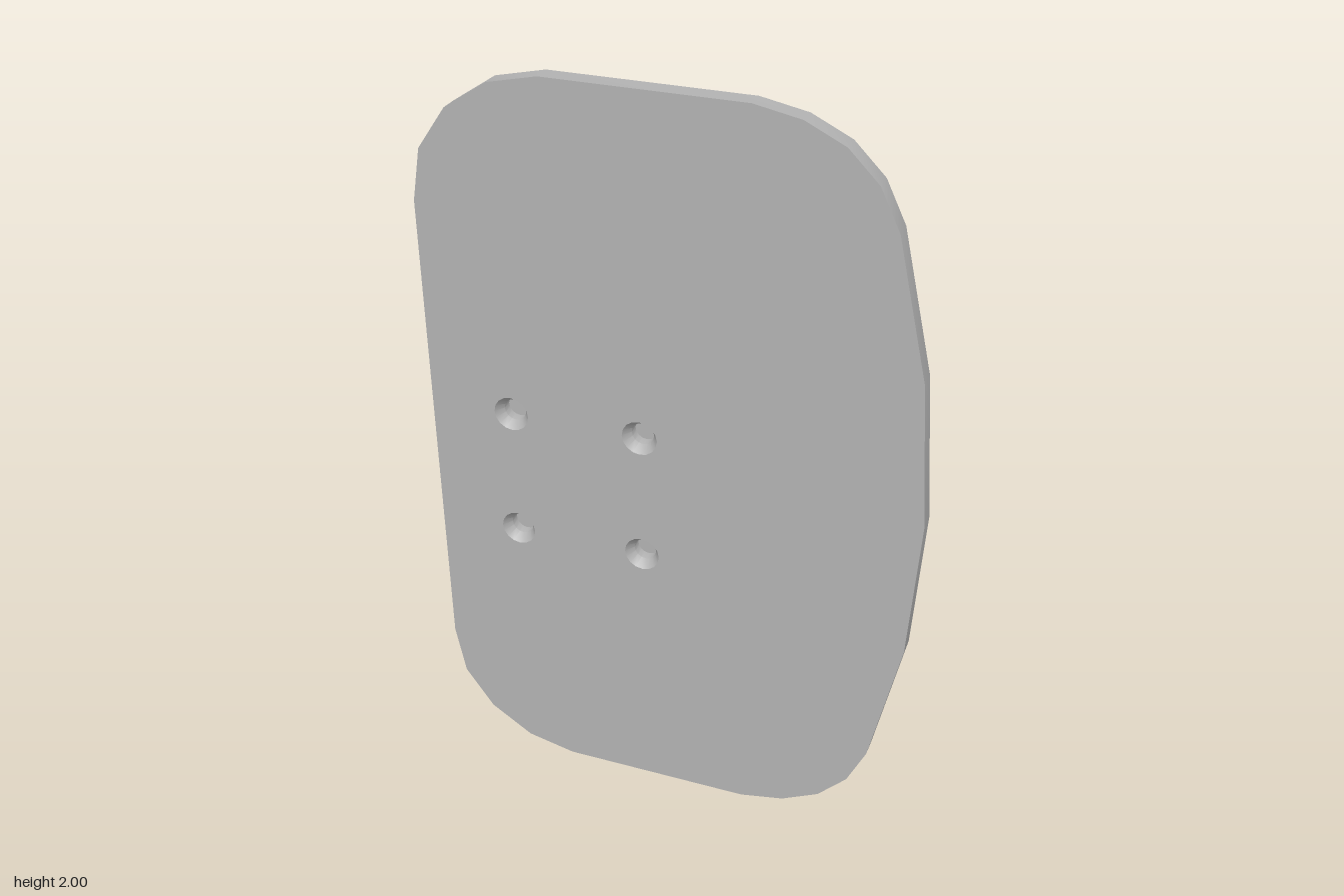
import * as THREE from 'three';
import { toCreasedNormals } from 'three/addons/utils/BufferGeometryUtils.js';

const SIDES = 16;
const T = 0.05; // sheet thickness
const CX = -0.255; // bracket centre line

const toVectors = (list) => list.map(([x, y]) => new THREE.Vector2(x, y));

function extrude(shape, depth) {
  const geo = new THREE.ExtrudeGeometry(shape, { depth, bevelEnabled: false, curveSegments: 10 });
  return toCreasedNormals(geo, 0.7);
}

export function createModel() {
  const group = new THREE.Group();
  const grey = new THREE.MeshStandardMaterial({ color: 0xb2b2b2 });
  grey.name = 'grey metal';
  const add = (name, geo) => {
    const mesh = new THREE.Mesh(geo, grey);
    mesh.name = name;
    group.add(mesh);
    return mesh;
  };

  // Plate: lower half of the outline, mirrored about y = 1
  const lower = [
    [-0.655, 0.35], [-0.63, 0.213], [-0.553, 0.103], [-0.44, 0.029], [-0.31, 0],
    [0.2, 0], [0.318, 0.023], [0.418, 0.072], [0.495, 0.15], [0.545, 0.255], [0.624, 0.615],
  ];
  const upper = lower.map(([x, y]) => [x, 2 - y]).reverse();
  const plate = new THREE.Shape(toVectors([...lower, [0.65, 1], ...upper]));

  // Countersunk screw holes
  const rOut = 0.047, rIn = 0.03;
  for (const x of [-0.432, -0.081]) {
    for (const y of [0.746, 1.096]) {
      const ring = [];
      for (let i = 0; i < SIDES; i++) {
        const a = (-i / SIDES) * Math.PI * 2;
        ring.push([x + rOut * Math.cos(a), y + rOut * Math.sin(a)]);
      }
      plate.holes.push(new THREE.Path(toVectors(ring)));
      const sink = new THREE.LatheGeometry(
        toVectors([[rOut, 0.25], [rIn, 0.225], [rIn, 0.2]]), SIDES);
      sink.rotateX(Math.PI / 2);
      add('countersunkHole', toCreasedNormals(sink, 0.6)).position.set(x, y, 0);
    }
  }
  add('plate', extrude(plate, T).translate(0, 0, 0.2));

  // Bracket back with its two bends, drawn from the side (shape x = -z)
  const low = 0.57, high = 1.27, R = 0.1;
  const bend = new THREE.Shape();
  bend.moveTo(-0.1, high + R);
  bend.absarc(-0.1, high, R, Math.PI / 2, Math.PI, false);
  bend.absarc(-0.1, low, R, Math.PI, Math.PI * 1.5, false);
  bend.absarc(-0.1, low, R - T, Math.PI * 1.5, Math.PI, true);
  bend.absarc(-0.1, high, R - T, Math.PI, Math.PI / 2, true);
  bend.closePath();
  add('bracketBack', extrude(bend, 0.51).rotateY(Math.PI / 2).translate(CX - 0.255, 0, 0));

  // Forked flanges, drawn from above (shape y = -z), mirrored about the centre line
  const half = [
    [0.255, -0.1], [0.245, -0.085], [0.188, -0.03], [0.178, -0.012], [0.175, 0.01],
    [0.175, 0.21], [0.17, 0.23], [0.153, 0.247], [0.132, 0.251], [0.111, 0.247],
    [0.094, 0.23], [0.089, 0.21], [0.089, 0.14], [0.079, 0.108], [0.047, 0.077],
  ];
  const mirrored = half.map(([u, v]) => [-u, v]).reverse();
  const outline = [...half, [0, 0.065], ...mirrored].map(([u, v]) => [CX + u, v]);
  const flange = extrude(new THREE.Shape(toVectors(outline)), T).rotateX(-Math.PI / 2);
  add('lowerFork', flange).position.y = low - R;
  add('upperFork', flange).position.y = high + R - T;

  return group;
}
